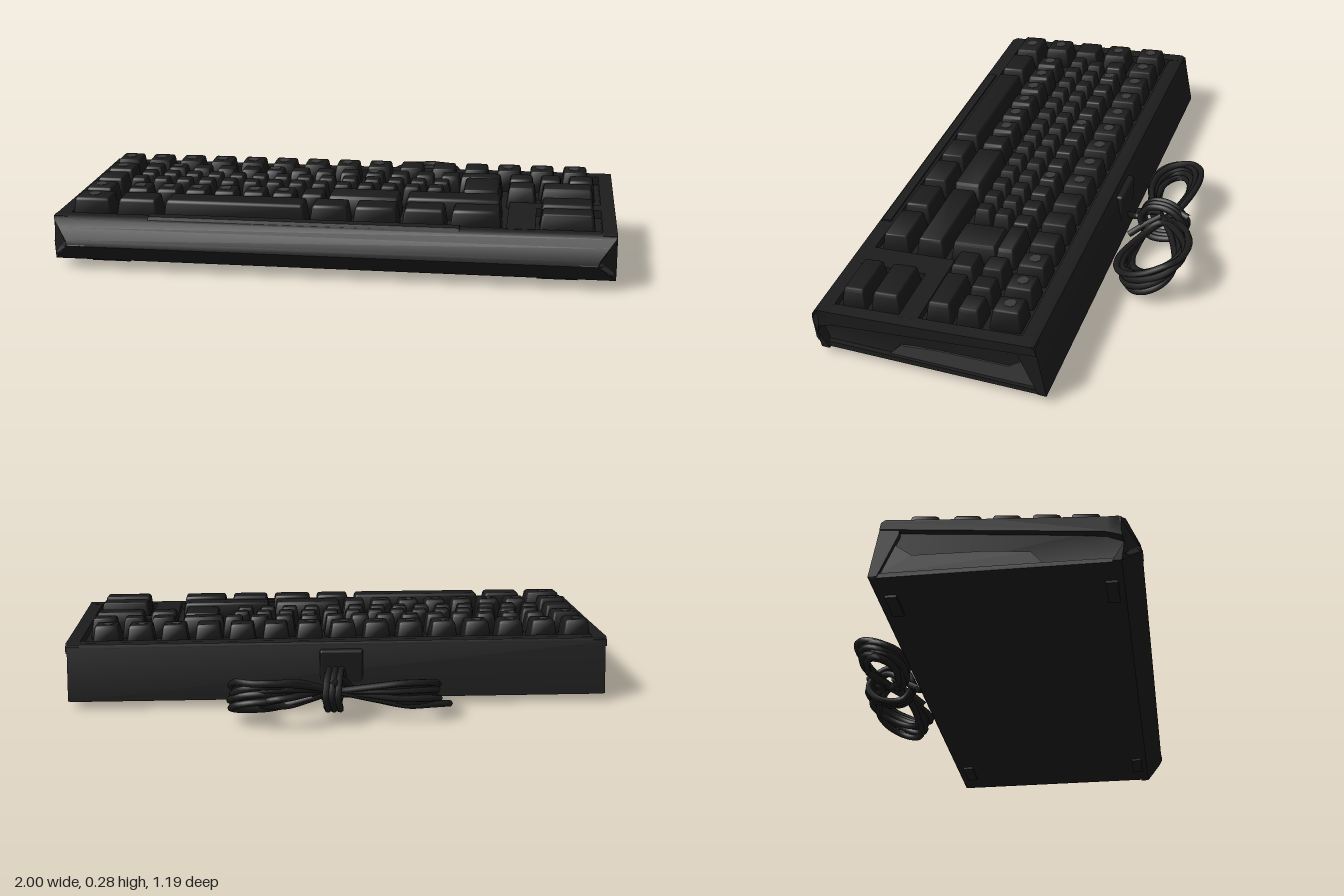
import * as THREE from 'three';
import { toCreasedNormals } from 'three/addons/utils/BufferGeometryUtils.js';
import { RoundedBoxGeometry } from 'three/addons/geometries/RoundedBoxGeometry.js';

const mat = (name, color) => {
  const m = new THREE.MeshStandardMaterial({ color });
  m.name = name;
  return m;
};

export function createModel() {
  const root = new THREE.Group();
  root.name = 'keyboard';
  const black = mat('matte black', 0x1c1c1c);
  const keyBlack = mat('key black', 0x1a1a1a);
  const grey = mat('worn grey', 0x3a3a3a);

  const add = (name, geo, material, parent = root) => {
    const m = new THREE.Mesh(geo, material);
    m.name = name;
    parent.add(m);
    return m;
  };

  // Extrudes a [z, y] profile along x; the front corners are cut back
  const extrudeX = (name, pts, x0, x1, material = black) => {
    const shape = new THREE.Shape(pts.map(([z, y]) => new THREE.Vector2(z, y)));
    const geo = new THREE.ExtrudeGeometry(shape, { depth: x1 - x0, bevelEnabled: false });
    geo.rotateY(-Math.PI / 2).translate(x1, 0, 0);
    const p = geo.attributes.position;
    for (let i = 0; i < p.count; i++) {
      const cut = Math.max(0, p.getZ(i) - 0.545) * 1.3;
      p.setX(i, p.getX(i) * (1 - cut));
    }
    return add(name, toCreasedNormals(geo, 0.6), material);
  };

  // Housing core, base flange, front lip and back wall
  extrudeX('housing', [[-0.27, 0.03], [0.53, 0.03], [0.56, 0.09], [0.5, 0.16], [-0.235, 0.2]], -0.972, 0.972);
  extrudeX('base', [[-0.287, 0.025], [0.53, 0.025], [0.548, 0.042], [-0.283, 0.042]], -0.99, 0.99);
  extrudeX('frontLip', [[0.5, 0.025], [0.53, 0.025], [0.585, 0.075], [0.594, 0.088], [0.59, 0.108], [0.565, 0.148],
    [0.548, 0.176], [0.525, 0.187], [0.49, 0.187], [0.49, 0.13], [0.535, 0.115], [0.54, 0.09]], -1, 1);
  extrudeX('backWall', [[-0.289, 0.028], [-0.26, 0.028], [-0.19, 0.18], [-0.19, 0.229], [-0.235, 0.234],
    [-0.246, 0.23], [-0.252, 0.218]], -0.995, 0.995);
  extrudeX('frontLedge', [[0.5, 0.18], [0.54, 0.18], [0.535, 0.192], [0.5, 0.195]], -0.65, 0.46);

  // Side rims overhang recessed sides that carry a glossy inset
  for (const s of [-1, 1]) {
    const span = (a, b) => (s > 0 ? [a, b] : [-b, -a]);
    const side = s > 0 ? 'left' : 'right';
    extrudeX(side + 'Rim', [[0.53, 0.128], [0.535, 0.184], [0.1, 0.211], [-0.235, 0.234], [-0.25, 0.225], [-0.255, 0.2]],
      ...span(0.95, 1));
    extrudeX(side + 'Inset', [[0.28, 0.044], [-0.262, 0.044], [-0.236, 0.172], [-0.15, 0.108], [0.1, 0.104], [0.24, 0.09]],
      ...span(0.97, 0.978), grey);
    extrudeX(side + 'CornerInset', [[0.54, 0.05], [0.555, 0.05], [0.596, 0.09], [0.585, 0.1]],
      ...span(0.93, 0.999), grey);
  }

  // Raised deck beside the small key block
  extrudeX('deckPanel', [[0.5, 0.15], [0.5, 0.188], [0.18, 0.206], [0.18, 0.16]], 0.62, 0.72);
  extrudeX('deckBridge', [[0.25, 0.15], [0.25, 0.202], [0.18, 0.206], [0.18, 0.16]], 0.72, 0.96);

  // Feet
  for (const x of [-0.8, 0.8]) for (const z of [0.49, -0.24]) {
    add('foot', new THREE.BoxGeometry(0.14, 0.012, 0.04), black).position.set(x, 0.022, z);
  }

  // Keys: tapered, rounded caps following the slope of the deck
  const keys = new THREE.Group();
  keys.name = 'keys';
  root.add(keys);
  const key = (x, z, w, d, worn = false, lift = 0) => {
    const h = 0.085, top = 0.241 + (0.42 - z) * 0.06 + lift;
    const geo = new RoundedBoxGeometry(w, h, d, 2, 0.012);
    const p = geo.attributes.position;
    for (let i = 0; i < p.count; i++) {
      const t = (p.getY(i) / h + 0.5) * 0.024;
      p.setX(i, p.getX(i) * (1 - t / w));
      p.setZ(i, p.getZ(i) * (1 - t / d) - t * 0.25);
    }
    const g = new THREE.Group();
    g.name = 'key';
    g.position.set(x, top - h / 2, z);
    g.rotation.x = 0.09;
    keys.add(g);
    add('keyCap', toCreasedNormals(geo, 0.7), keyBlack, g);
    if (worn) add('wornPatch', new THREE.CylinderGeometry(0.021, 0.021, 0.003, 7), grey, g).position.set(-0.004, h / 2, -0.008);
  };
  const row = (n, x0, pitch, z, w, d, worn) => {
    for (let i = 0; i < n; i++) key(x0 + i * pitch, z, w, d, worn(i));
  };
  const no = () => false;
  row(15, -0.905, 0.126, -0.112, 0.108, 0.118, i => i < 9 || i > 11);  // top row
  row(4, -0.9, 0, 0.03, 0.115, 0.11, () => false);
  [0.03, 0.16, 0.292, 0.42].forEach((z, i) => key(i === 3 ? -0.88 : -0.895, z, i === 3 ? 0.15 : 0.12, 0.115, i !== 1));
  row(13, -0.775, 0.097, 0.005, 0.088, 0.088, i => i % 4 === 1);       // number row
  row(14, -0.77, 0.087, 0.092, 0.079, 0.078, no);                      // letter rows
  row(14, -0.785, 0.087, 0.172, 0.079, 0.078, no);
  row(7, -0.845 + 0.1, 0.109, 0.292, 0.1, 0.11, i => i < 6);
  // Wide keys as [x0, x1, z0, z1]
  [[-0.04, 0.235, 0.228, 0.352], [0.245, 0.6, 0.232, 0.345],
    [-0.79, -0.63, 0.365, 0.478], [-0.615, -0.09, 0.365, 0.478], [-0.08, 0.065, 0.365, 0.478],
    [0.075, 0.24, 0.365, 0.478], [0.25, 0.41, 0.365, 0.478], [0.42, 0.605, 0.365, 0.478],
    [0.42, 0.59, -0.035, 0.05], [0.44, 0.59, 0.035, 0.215],
    [0.605, 0.71, -0.035, 0.06], [0.72, 0.815, -0.035, 0.06], [0.825, 0.935, -0.035, 0.06],
    [0.605, 0.72, 0.07, 0.17], [0.73, 0.93, 0.07, 0.17],
    [0.73, 0.93, 0.258, 0.372], [0.73, 0.93, 0.385, 0.482],
  ].forEach(([a, b, c, d]) => key((a + b) / 2, (c + d) / 2, b - a, d - c));

  // Cable: strain relief, two bundles of loops, a tie and the lead
  add('strainRelief', new RoundedBoxGeometry(0.16, 0.13, 0.05, 2, 0.01), black).position.set(-0.01, 0.14, -0.254);
  const cable = new THREE.Group();
  cable.name = 'cable';
  root.add(cable);
  const tube = (name, pts, closed, segs = 48) => {
    const curve = new THREE.CatmullRomCurve3(pts.map(p => new THREE.Vector3(...p)), closed);
    add(name, new THREE.TubeGeometry(curve, segs, 0.0125, 7, closed), black, cable);
  };
  let seed = 7;
  const rand = () => (seed = (seed * 16807) % 2147483647) / 2147483647 - 0.5;
  // Teardrop loop from the knot to (ex, ez), with half width w
  const loop = (name, ex, ez, w, y, tilt) => {
    const kx = 0.02 + rand() * 0.04, kz = -0.42 + rand() * 0.06;
    const pts = [];
    for (let i = 0; i < 14; i++) {
      const t = (i / 14) * Math.PI * 2;
      const a = (1 - Math.cos(t)) / 2;
      const b = Math.sin(t) * w * (0.55 + 0.75 * a);
      const z = kz + (ez - kz) * a + b;
      const py = 0.1 + (y - 0.1) * Math.min(1, a * 1.6) - tilt * b;
      pts.push([kx + (ex - kx) * a, THREE.MathUtils.clamp(py, 0.0125, 0.178), Math.max(z, -0.583)]);
    }
    tube(name, pts, true);
  };
  for (let i = 0; i < 7; i++) {
    const k = i / 6;
    loop('rightLoop', -0.37 + rand() * 0.06, -0.395 + rand() * 0.03, 0.06 + 0.035 * k, 0.03 + 0.09 * k, 0.35);
    loop('leftLoop', 0.39 - 0.13 * (1 - k) * (i % 2) + rand() * 0.02, -0.465 + rand() * 0.03, 0.09 + 0.04 * k, 0.055 + 0.08 * k, 0.5);
  }
  for (let i = 0; i < 3; i++) {
    const x = 0.005 + i * 0.022;
    tube('tie', [[x, 0.17, -0.46], [x - 0.01, 0.165, -0.38], [x - 0.02, 0.1, -0.34], [x, 0.04, -0.38],
      [x, 0.05, -0.48], [x + 0.01, 0.11, -0.52]], true, 32);
  }
  tube('lead', [[-0.01, 0.08, -0.26], [-0.03, 0.06, -0.31], [-0.02, 0.1, -0.36], [0.01, 0.13, -0.42]], false, 20);
  tube('looseEnd', [[-0.09, 0.04, -0.3], [-0.05, 0.08, -0.35], [0.0, 0.15, -0.44], [0.04, 0.15, -0.53]], false, 24);
  tube('looseStrand', [[0.06, 0.035, -0.305], [0.04, 0.07, -0.35], [0.02, 0.12, -0.42]], false, 16);
  return root;
}
